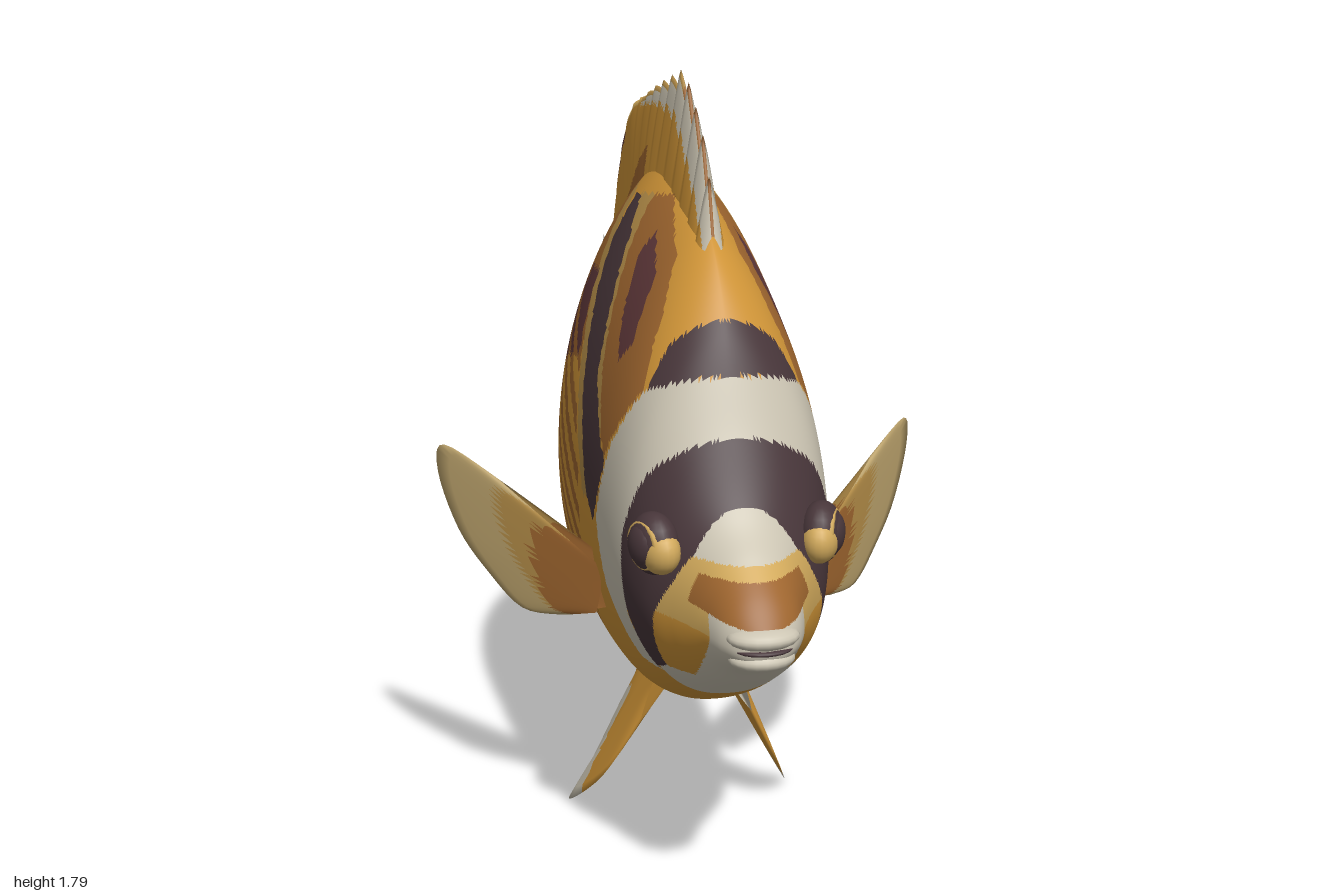
import * as THREE from 'three';

const mat = (name, color) => new THREE.MeshStandardMaterial({ name, color, side: THREE.DoubleSide });
const MATS = [
  mat('gold', 0xcf9437), mat('brown', 0x9f662f), mat('dark', 0x48363a), mat('maroon', 0x5f383a),
  mat('white', 0xccc5b3), mat('pale gold', 0xd2aa5c), mat('olive', 0xb48d48), mat('tan', 0xbba26c),
];
const [GOLD, BROWN, DARK, MAROON, WHITE, PALE, OLIVE, TAN] = MATS.keys();

// Marking outlines on the flank, as [z, y] corners
const MARK = {
  cap: [[.75, 1.215], [.64, 1.215], [.57, 1.17], [.56, 1.27], [.595, 1.35], [.75, 1.35]],
  eyeBand: [[.85, 1.1], [.7, 1.1], [.65, 1.01], [.61, .87], [.61, .7], [.645, .575], [.7, .6], [.73, .73],
    [.77, .81], [.79, .88], [.765, .99], [.85, 1.0]],
  collar: [[.75, 1.22], [.66, 1.22], [.57, 1.18], [.49, 1.03], [.43, .85], [.47, .7], [.58, .57], [.66, .57],
    [.61, .68], [.61, .83], [.64, .97], [.7, 1.09], [.76, 1.09]],
  shoulder: [[.46, 1.0], [.56, 1.17], [.5, 1.32], [.42, 1.43], [.25, 1.53], [.17, 1.52], [.22, 1.4], [.33, 1.16], [.41, 1.04]],
  shoulderBlotch: [[.45, 1.24], [.4, 1.38], [.29, 1.46], [.275, 1.41], [.35, 1.27], [.41, 1.2]],
  sash: [[.1, 1.51], [.055, 1.5], [.08, 1.4], [.17, 1.22], [.25, 1.03], [.33, .88], [.4, .83], [.44, .91],
    [.47, .99], [.41, 1.03], [.31, 1.14], [.25, 1.3], [.18, 1.43]],
  sashFront: [[.17, 1.52], [.1, 1.51], [.18, 1.43], [.25, 1.3], [.31, 1.14], [.41, 1.03], [.41, 1.05], [.33, 1.16], [.22, 1.4]],
  sashRear: [[.035, 1.5], [-.03, 1.52], [.01, 1.43], [.14, 1.19], [.22, 1.0], [.3, .86], [.34, .87], [.25, 1.03], [.17, 1.22], [.08, 1.4]],
  saddle: [[-.03, 1.52], [-.07, 1.6], [-.15, 1.54], [-.29, 1.36], [-.42, 1.18], [-.49, 1.03], [-.47, .85], [-.38, .68],
    [-.25, .6], [.05, .47], [.18, .52], [.24, .62], [.24, .85], [.14, 1.19], [.01, 1.43]],
  stripes: [[.13, 1.18], [0, 1.28], [-.34, 1.02], [-.32, .84], [-.2, .62], [.05, .46], [.2, .5], [.26, .62], [.25, .9]],
  streaks: [[.15, 1.2], [0, 1.32], [-.1, 1.26], [-.36, 1.03], [-.34, .93], [-.2, .99], [-.02, 1.11], [.12, 1.14]],
  flankBlotch: [[.08, 1.33], [-.03, 1.32], [0, 1.23], [.13, 1.14]],
};

function inside(poly, z, y) {
  let hit = false;
  poly.forEach(([az, ay], i) => {
    const [bz, by] = poly[(i + 1) % poly.length];
    if (ay > y !== by > y && z < az + (bz - az) * (y - ay) / (by - ay)) hit = !hit;
  });
  return hit;
}

// Colour of the skin at a point
function skin({ x, y, z }) {
  const on = (k) => inside(MARK[k], z, y), ax = Math.abs(x);
  if (Math.hypot((z + .595) / .065, (y - .905) / .09) < 1) return DARK;
  if (on('eyeBand') || on('cap')) return DARK;
  if (on('collar')) return WHITE;
  if (z > .66 && y < 1.12) {
    if (y > .765 + ax * .2 && y < .85 && z > .82) return BROWN;
    if (y > .84) return ax > .11 || y < .875 ? PALE : WHITE;
    return ax > .1 && y > .6 ? (y > .74 ? PALE : GOLD) : WHITE;
  }
  if (on('shoulderBlotch') || on('flankBlotch')) return MAROON;
  if (on('sash')) return DARK;
  if (on('sashFront') || on('sashRear')) return OLIVE;
  if (on('shoulder')) return BROWN;
  const band = ((.6 * z + .8 * y) / .07 + 20) % 1 < .48;
  if (on('streaks')) return band ? MAROON : BROWN;
  if (on('stripes')) return band ? BROWN : GOLD;
  if (on('saddle')) return BROWN;
  return y < .39 && z < .24 && z > -.18 ? TAN : GOLD;
}

// Grid surface whose triangles are sorted into colour groups; diagonals mirror across the middle
function paintedGrid(name, nu, nv, wrap, point, colour) {
  const cols = wrap ? nv : nv + 1, pos = [], cells = MATS.map(() => []);
  for (let i = 0; i <= nu; i++) for (let j = 0; j < cols; j++) pos.push(...point(i / nu, j / nv).toArray());
  const tri = (...corners) => {
    const u = corners.reduce((s, c) => s + c[0], 0) / 3 / nu, v = corners.reduce((s, c) => s + c[1], 0) / 3 / nv;
    cells[colour(point(u, v), u, v)].push(...corners.map(([i, j]) => i * cols + j % cols));
  };
  for (let i = 0; i < nu; i++) for (let j = 0; j < nv; j++) {
    const a = [i, j], b = [i + 1, j], c = [i + 1, j + 1], d = [i, j + 1];
    if (j < nv / 2) {
      tri(a, d, b);
      tri(d, c, b);
    } else {
      tri(a, d, c);
      tri(a, c, b);
    }
  }
  const geo = new THREE.BufferGeometry();
  geo.setAttribute('position', new THREE.Float32BufferAttribute(pos, 3));
  geo.setIndex(cells.flat());
  let start = 0;
  cells.forEach((c, m) => {
    if (c.length) geo.addGroup(start, c.length, m);
    start += c.length;
  });
  geo.computeVertexNormals();
  const mesh = new THREE.Mesh(geo, MATS);
  mesh.name = name;
  return mesh;
}

const spline = (pts) => new THREE.SplineCurve(pts.map((p) => new THREE.Vector2(...p)));

// Thin two-sided fin between a root curve and a toothed outer edge
function fin(name, nu, nv, { root, edge, thick, place, colour, tooth = () => 0 }) {
  const r = spline(root), e = spline(edge);
  const out = (v) => 1 - Math.abs(2 * v - 1);
  return paintedGrid(name, nu, nv, false, (u, v) => {
    const k = out(v), p = r.getPoint(u).lerp(e.getPoint(u), k * (1 - tooth(u)));
    return place(p.x, p.y, Math.sign(.5 - v) * thick(u) * Math.pow(1 - k, .8));
  }, (p, u, v) => colour(p, out(v), u));
}

function body() {
  // z, top, bottom, half width
  const rows = [
    [.985, .745, .735, .005], [.97, .775, .7, .05], [.93, .825, .675, .085], [.86, .885, .635, .115], [.78, .955, .58, .155],
    [.7, 1.09, .53, .2], [.6, 1.295, .47, .232], [.47, 1.45, .41, .25], [.3, 1.54, .36, .262], [.08, 1.59, .34, .271],
    [-.12, 1.53, .35, .253], [-.3, 1.36, .47, .19], [-.45, 1.12, .65, .11], [-.55, 1.02, .77, .072],
    [-.62, .995, .79, .055], [-.72, 1.0, .79, .035], [-.85, .98, .82, .008],
  ];
  const tall = spline(rows.map((r) => [r[1], r[2]])), run = spline(rows.map((r) => [r[0], r[3]]));
  return paintedGrid('body', 280, 212, true, (u, v) => {
    const { x: top, y: bot } = tall.getPoint(u), { x: z, y: w } = run.getPoint(u);
    const t = v * Math.PI * 2 + .15 * Math.sin(v * Math.PI * 4);
    const c = Math.cos(t), s = Math.sin(t), mid = bot + .42 * (top - bot);
    const sharp = c > 0 ? 1 + .5 * THREE.MathUtils.smoothstep(-z, -.75, -.35) : .88;
    return new THREE.Vector3(Math.sign(s) * w * Math.pow(Math.abs(s), sharp), mid + c * (c > 0 ? top - mid : mid - bot), z);
  }, skin);
}

const upright = (z, y, off) => new THREE.Vector3(off, y, z);

function ball(name, m, [x, y, z], [sx, sy, sz]) {
  const mesh = new THREE.Mesh(new THREE.SphereGeometry(1, 20, 14), MATS[m]);
  mesh.name = name;
  mesh.position.set(x, y, z);
  mesh.scale.set(sx, sy, sz);
  return mesh;
}

export function createModel() {
  const fish = new THREE.Group();
  fish.name = 'fish';
  fish.add(body());

  // Dorsal fin: tall spines in front, soft lobe behind
  const spine = (u) => (u * 20) % 1;
  fish.add(fin('dorsalFin', 140, 40, {
    root: [[.47, 1.4], [.27, 1.48], [.04, 1.52], [-.14, 1.43], [-.28, 1.25], [-.42, 1.08], [-.52, .95]],
    edge: [[.46, 1.54], [.38, 1.67], [.27, 1.75], [.15, 1.8], [0, 1.765], [-.15, 1.725], [-.3, 1.68], [-.45, 1.64],
      [-.57, 1.56], [-.66, 1.44], [-.715, 1.3], [-.705, 1.17], [-.65, 1.08], [-.57, 1.02]],
    thick: (u) => -.036 - .06 * u, place: upright,
    tooth: (u) => (1 - spine(u)) * Math.max(.02, .45 - u),
    colour: (p, k, u) => {
      if (u < .48 && k > .45 + u) {
        if (k > .94 || spine(u) > .82) return u < .22 ? BROWN : OLIVE;
        return WHITE;
      }
      if (k > .96) return PALE;
      if (k > .88 && k < .945 && u > .6 && u < .9) return MAROON;
      return skin(p) === BROWN ? BROWN : GOLD;
    },
  }));

  // Anal fin
  fish.add(fin('analFin', 80, 32, {
    root: [[-.12, .42], [-.28, .55], [-.42, .7], [-.52, .85]],
    edge: [[-.15, .345], [-.25, .22], [-.38, .19], [-.44, .245], [-.53, .265], [-.62, .34], [-.69, .45], [-.72, .55],
      [-.695, .645], [-.63, .74], [-.57, .78]],
    thick: () => .055, place: upright,
    tooth: (u) => (1 - (u * 10) % 1) * (u < .205 ? .4 : .015),
    colour: (p, k, u) => {
      if (Math.hypot((p.z + .605) / .018, (p.y - .69) / .045) < 1) return BROWN;
      return k > .96 ? PALE : k > .87 && k < .94 && u > .35 && u < .75 ? BROWN : GOLD;
    },
  }));

  // Tail fin
  fish.add(fin('tailFin', 40, 40, {
    root: [[-.6, .985], [-.6, .9], [-.6, .8]],
    edge: [[-.92, 1.21], [-.965, 1.13], [-.99, 1.0], [-1, .88], [-.985, .75], [-.95, .65], [-.915, .585]],
    thick: () => -.045, place: upright,
    tooth: (u) => .012 * (1 - (u * 12) % 1) * Math.sin(Math.PI * u),
    colour: (p, k) => (k > .7 ? WHITE : k > .55 ? PALE : skin(p)),
  }));

  for (const side of [1, -1]) {
    const half = new THREE.Group();
    half.name = side > 0 ? 'leftSide' : 'rightSide';
    half.scale.x = side;

    // Pectoral fin, swept out and back
    half.add(fin('pectoralFin', 30, 24, {
      root: [[.24, .74], [.23, .69], [.24, .62]],
      edge: [[.44, .88], [.555, .94], [.57, .87], [.53, .74], [.47, .65], [.4, .58], [.32, .585]],
      thick: () => -.02,
      place: (x, y, off) => new THREE.Vector3(x + off * .69, y, .38 - (x - .27) * .95 + off * .72),
      colour: (p, k, u) => (k < .26 + .42 * u ? BROWN : k > .62 ? TAN : OLIVE),
    }));

    // Pelvic fin, trailing down
    half.add(fin('pelvicFin', 30, 20, {
      root: [[.33, .41], [.26, .4], [.18, .38]],
      edge: [[.32, .3], [.25, .13], [.105, .005], [.13, .1], [.135, .28], [.17, .34]],
      thick: () => .022,
      place: (z, y, off) => new THREE.Vector3(.1 + (.37 - y) * .48 + off, y, z),
      colour: (p) => (p.y < .33 && p.z < .16 + p.y * .12 ? WHITE : GOLD),
    }));

    // Bulging eye, gold towards the snout, with a thin rim
    const eye = new THREE.Group();
    eye.name = 'eye';
    eye.position.set(.18, .885, .72);
    eye.rotation.y = 1.15;
    const rim = new THREE.Mesh(new THREE.TorusGeometry(.046, .008, 8, 28), MATS[PALE]);
    rim.name = 'eyeRim';
    rim.position.z = .026;
    eye.add(
      ball('eyeball', DARK, [0, 0, 0], [.064, .068, .048]),
      ball('iris', PALE, [-.024, -.01, .002], [.052, .05, .04]),
      rim,
      ball('pupil', DARK, [.002, 0, .026], [.044, .046, .026]),
    );
    half.add(eye);
    fish.add(half);
  }

  // Mouth
  fish.add(
    ball('upperLip', WHITE, [0, .752, .945], [.076, .026, .052]),
    ball('mouthSlit', DARK, [0, .728, .95], [.062, .01, .042]),
    ball('lowerLip', WHITE, [0, .702, .935], [.07, .026, .05]),
  );
  return fish;
}
